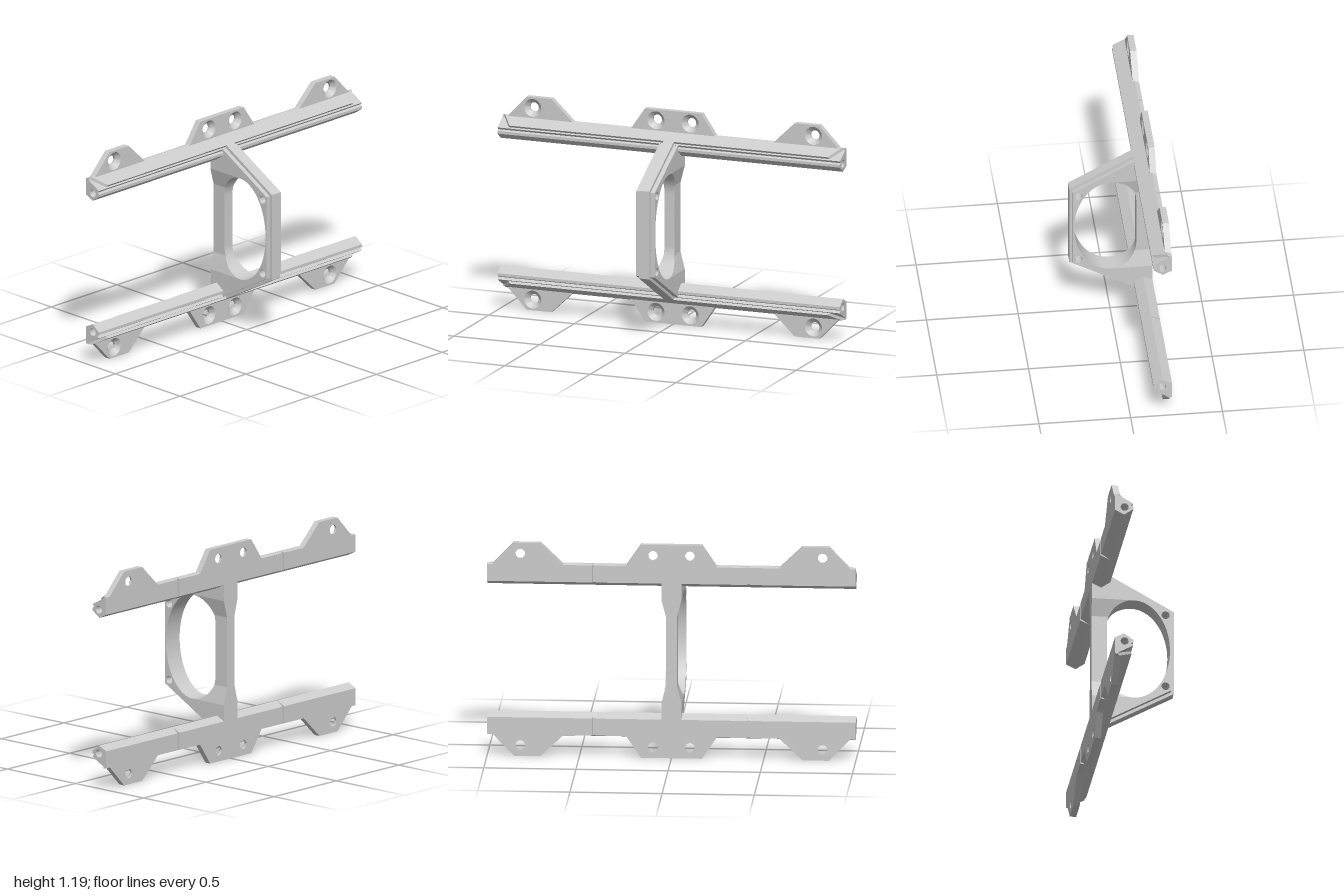
import * as THREE from 'three';
import { toCreasedNormals } from 'three/addons/utils/BufferGeometryUtils.js';

const MID = 0.595;       // height of the mirror plane
const BACK = -0.225;     // rear mounting plane
const SLOPE = 0.56;      // rise of the sloping edges toward the back
const HALF = 0.055;      // half width of the web
const POST = 0.03;       // half width of the rear post and front rib
const material = new THREE.MeshStandardMaterial({ color: 0xcccccc, side: THREE.DoubleSide });

function makeShape(points, holes = []) {
  const shape = new THREE.Shape(points.map(([a, b]) => new THREE.Vector2(a, b)));
  for (const [a, b, r] of holes) {
    const path = new THREE.Path();
    path.absarc(a, b, r, 0, Math.PI * 2, true);
    shape.holes.push(path);
  }
  return shape;
}

function addMesh(parent, name, geometry) {
  const mesh = new THREE.Mesh(toCreasedNormals(geometry, 0.5), material);
  mesh.name = name;
  parent.add(mesh);
  return mesh;
}

// Extrudes a (z, y) profile along x between two positions
function alongX(points, x0, x1, holes) {
  const g = new THREE.ExtrudeGeometry(makeShape(points, holes), {
    depth: x1 - x0, bevelEnabled: false, curveSegments: 16,
  });
  g.rotateY(-Math.PI / 2);
  return g.translate(x1, 0, 0);
}

// Moves the vertices of a geometry by a rule
function warp(geometry, rule) {
  const p = geometry.attributes.position;
  const v = new THREE.Vector3();
  for (let i = 0; i < p.count; i++) {
    rule(v.fromBufferAttribute(p, i));
    p.setXYZ(i, v.x, v.y, v.z);
  }
  geometry.computeVertexNormals();
  return geometry;
}

// Points on an elliptical arc, angles in degrees
function arc(cz, cy, rz, ry, from, to, n) {
  return Array.from({ length: n + 1 }, (_, i) => {
    const t = THREE.MathUtils.degToRad(from + (to - from) * i / n);
    return [cz + rz * Math.cos(t), cy + ry * Math.sin(t)];
  });
}

const railHole = [-0.172, 0.4, 0.022];

// Rail with a through bore, rear notches and a raised sloping band
function addRail(parent) {
  const profile = (b) => [
    [b, 0.475], [-0.205, 0.479], [-0.205, 0.468], [-0.135, 0.43], [-0.126, 0.424],
    [-0.138, 0.412], [-0.125, 0.405], [-0.125, 0.39], [-0.175, 0.355], [b, 0.38],
  ];
  const cuts = [-1, -0.4275, -0.4125, 0.4125, 0.4275, 1];
  for (let i = 0; i < 5; i++) {
    const notched = i % 2 === 1;
    addMesh(parent, notched ? 'railNotch' : 'rail',
      alongX(profile(notched ? -0.208 : BACK), cuts[i], cuts[i + 1], [railHole]));
  }
  const band = alongX([
    [-0.205, 0.466], [-0.205, 0.48], [-0.199, 0.483], [-0.125, 0.441], [-0.136, 0.428],
  ], -1, 1);
  // Slanted ends of the band
  addMesh(parent, 'railBand', warp(band, (v) => {
    v.x = Math.sign(v.x) * THREE.MathUtils.mapLinear(v.z, -0.205, -0.125, 0.99, 0.93);
  }));
}

// Trapezoid mounting tab with countersunk screw holes
function addTab(parent, outline, holeXs) {
  const y = 0.535;
  const thickness = 0.035;
  const g = new THREE.ExtrudeGeometry(
    makeShape(outline, holeXs.map((x) => [x, y, 0.05])),
    { depth: thickness, bevelEnabled: false, curveSegments: 16 });
  addMesh(parent, 'mountingTab', g.translate(0, 0, BACK));
  for (const x of holeXs) {
    const profile = [[0.05, 0], [0.026, 0], [0.026, 0.012], [0.05, thickness]]
      .map(([r, h]) => new THREE.Vector2(r, h));
    const sink = new THREE.LatheGeometry(profile, 32).rotateX(Math.PI / 2);
    addMesh(parent, 'countersink', sink.translate(x, y, BACK));
  }
}

// Upper half of the web around the opening, with the rib along its edge
function addWeb(parent) {
  const cz = 0.005;
  const edge = (z) => 0.226 + (0.225 - z) * SLOPE;
  addMesh(parent, 'frontWeb', alongX([
    ...arc(cz, 0, 0.196, 0.29, 0, 90, 24), [cz, edge(cz)], [0.208, edge(0.208)], [0.208, 0],
  ], -HALF, HALF, [[0.177, 0.212, 0.022]]));

  addMesh(parent, 'rearWeb', alongX([
    [BACK, 0.29], [cz, 0.29], [cz, edge(cz)], [-0.2, edge(-0.2)], [BACK, 0.465],
  ], -HALF, HALF, [railHole]));

  // Taper from the full web width to the narrow rear post
  const taper = alongX([
    [BACK, 0.29], ...arc(cz, 0.145, 0.145, 0.145, 90, 160, 14), [BACK, 0.1946],
  ], -HALF, HALF);
  addMesh(parent, 'postTaper', warp(taper, (v) => {
    v.x = Math.sign(v.x) * THREE.MathUtils.mapLinear(v.y, 0.1946, 0.29, POST, HALF);
  }));
  addMesh(parent, 'rearPost', alongX([
    [BACK, 0.1946], ...arc(cz, 0.145, 0.145, 0.145, 160, 180, 5), [-0.14, 0], [BACK, 0],
  ], -POST, POST));

  const rim = (z) => 0.245 + (0.225 - z) * SLOPE;
  addMesh(parent, 'rib', alongX([
    [0.225, 0], [0.225, rim(0.225)], [-0.18, rim(-0.18)], [-0.18, rim(-0.18) - 0.025],
    [0.204, edge(0.204) - 0.004], [0.204, 0],
  ], -POST, POST));
}

function createHalf() {
  const half = new THREE.Group();
  addRail(half);
  addWeb(half);
  addTab(half, [[-0.25, 0.47], [-0.165, 0.595], [0.165, 0.595], [0.25, 0.47]], [-0.1, 0.1]);
  for (const s of [-1, 1]) {
    addTab(half,
      [[0.58, 0.47], [0.71, 0.595], [0.855, 0.595], [0.975, 0.47]].map(([x, y]) => [s * x, y]),
      [s * 0.82]);
  }
  half.position.y = MID;
  return half;
}

export function createModel() {
  const model = new THREE.Group();
  model.name = 'railBracket';
  const upper = createHalf();
  upper.name = 'upperHalf';
  // The lower half is the upper one turned half a turn about the front axis
  const lower = createHalf();
  lower.name = 'lowerHalf';
  lower.rotation.z = Math.PI;
  model.add(upper, lower);
  return model;
}
